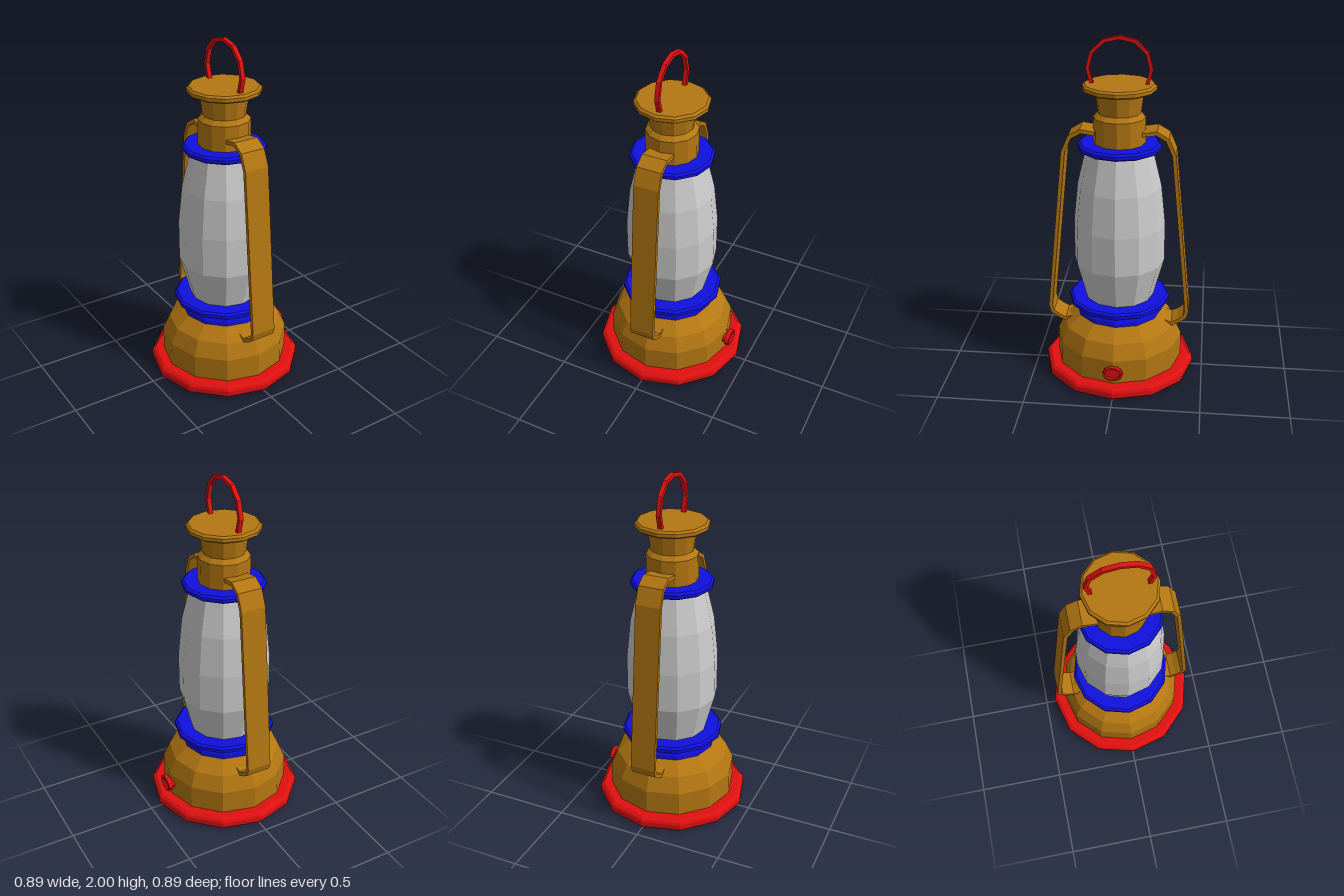
import * as THREE from 'three';

const paint = (color) => new THREE.MeshStandardMaterial({ color, flatShading: true });

export function createModel() {
  const model = new THREE.Group();
  const red = paint(0xe01010), blue = paint(0x1010e0), brass = paint(0xb47712), grey = paint(0xcccccc);

  const add = (name, geometry, material) => {
    const mesh = new THREE.Mesh(geometry, material);
    mesh.name = name;
    model.add(mesh);
    return mesh;
  };

  // Turned part; profile is [radius, height] from bottom to top
  const turned = (profile, sides = 12) =>
    new THREE.LatheGeometry(profile.map(([r, y]) => new THREE.Vector2(r, y)), sides);

  // Flat bar that follows a path of [z, y] points, with mitred corners
  const bar = (path, thickness, width) => {
    const pts = path.map(([z, y]) => new THREE.Vector2(z, y));
    const edge = (side) => pts.map((p, i) => {
      const a = p.clone().sub(pts[Math.max(i - 1, 0)]).normalize();
      const b = pts[Math.min(i + 1, pts.length - 1)].clone().sub(p).normalize();
      const t = a.clone().add(b).normalize();
      const unit = i === 0 ? b : a;
      const cos = Math.max(t.dot(unit), 0.5);
      return new THREE.Vector2(p.x - t.y * side / cos, p.y + t.x * side / cos);
    });
    const outline = [...edge(thickness / 2), ...edge(-thickness / 2).reverse()];
    return new THREE.ExtrudeGeometry(new THREE.Shape(outline), { depth: width, bevelEnabled: false })
      .translate(0, 0, -width / 2)
      .rotateY(-Math.PI / 2);
  };

  // Foot and fuel tank
  add('base', turned([[0, 0], [0.42, 0], [0.437, 0.012], [0.443, 0.025], [0.443, 0.05],
    [0.437, 0.063], [0.42, 0.075], [0, 0.075]]), red);
  add('tank', turned([[0.37, 0.07], [0.37, 0.215], [0.33, 0.305], [0.25, 0.372], [0, 0.372]]), brass);

  // Glass chimney between two collars
  add('lowerCollar', turned([[0.25, 0.37], [0.247, 0.395], [0.232, 0.425], [0.28, 0.435], [0.294, 0.445],
    [0.294, 0.465], [0.28, 0.476], [0, 0.476]]), blue);
  add('glass', turned([[0.2, 0.47], [0.262, 0.7], [0.262, 0.93], [0.238, 1.16], [0.185, 1.38]]), grey);
  add('upperCollar', turned([[0, 1.37], [0.222, 1.37], [0.235, 1.38], [0.235, 1.398],
    [0.222, 1.41], [0, 1.41]]), blue);

  // Vent and cap
  add('vent', turned([[0.146, 1.4], [0.146, 1.555], [0.12, 1.58], [0.136, 1.705]]), brass);
  add('cap', turned([[0, 1.7], [0.19, 1.7], [0.205, 1.711], [0.205, 1.73], [0.192, 1.741], [0, 1.741]]), brass);

  // Side straps, front and back
  const strap = bar([[0.13, 1.472], [0.21, 1.484], [0.27, 1.448], [0.308, 1.36], [0.402, 0.4], [0.392, 0.362],
    [0.355, 0.333], [0.315, 0.313], [0.275, 0.325]], 0.022, 0.146);
  add('frontStrap', strap, brass);
  add('backStrap', strap, brass).rotation.y = Math.PI;

  // Carrying handle
  const half = [[0.15, 1.735], [0.173, 1.82], [0.15, 1.908], [0.085, 1.97]];
  add('handle', bar([...half, [0, 1.989], ...half.map(([z, y]) => [-z, y]).reverse()], 0.02, 0.025), red);

  // Oval filler knob on the left of the tank, with a shallow recess
  const knob = turned([[0.045, -0.05], [0.045, -0.025], [0.058, -0.025], [0.058, 0], [0.046, 0],
    [0.042, -0.012], [0, -0.012]], 10);
  knob.rotateZ(-Math.PI / 2).scale(1, 0.75, 1).translate(0.402, 0.152, 0);
  add('knob', knob, red);

  return model;
}
